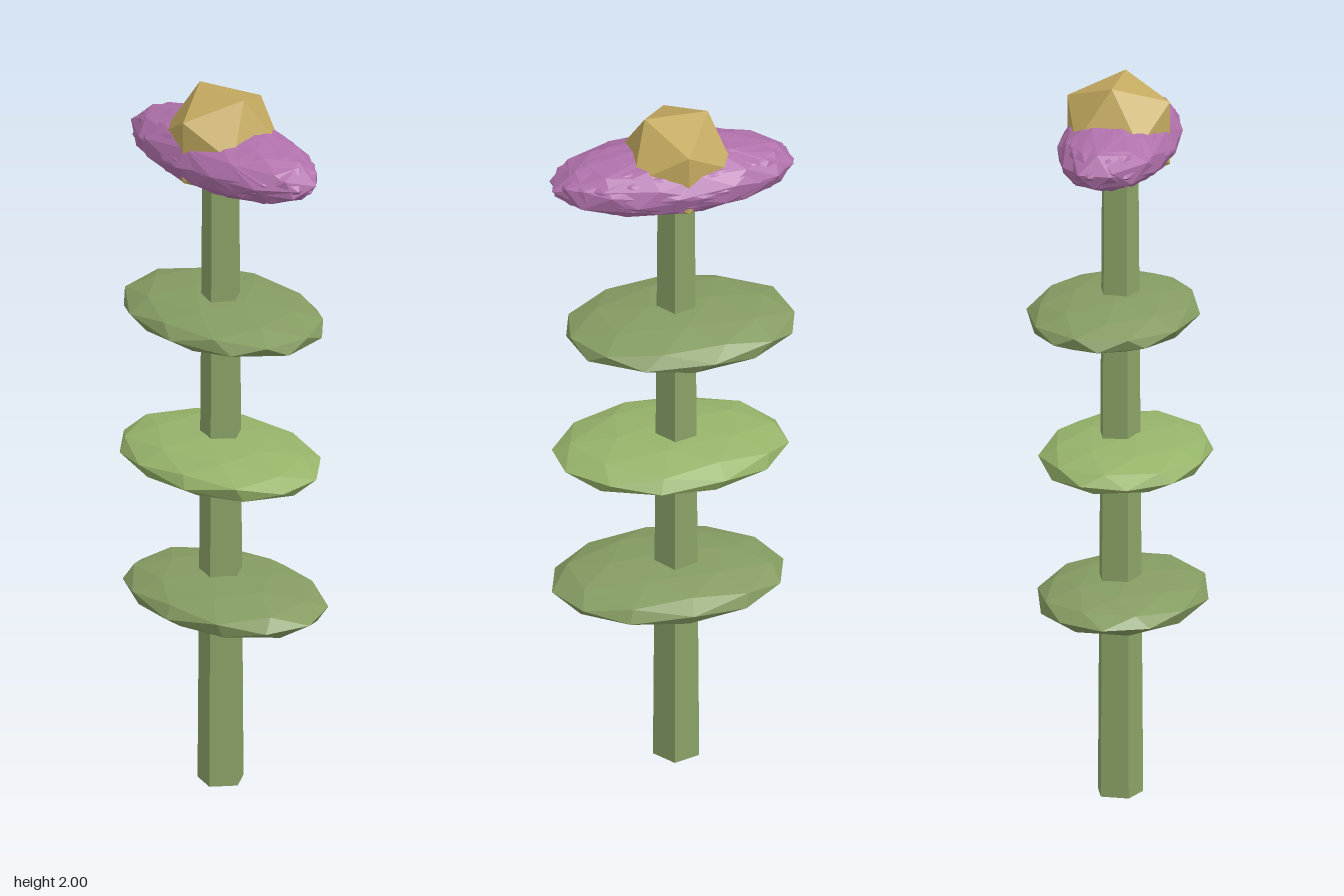
import * as THREE from 'three';

const flat = (color) => new THREE.MeshStandardMaterial({ color, flatShading: true });

// Faceted ellipsoid: the ball is turned first, then squashed, so facets differ but the size stays
function pebble(name, material, center, size, turn) {
  const geo = new THREE.IcosahedronGeometry(1, 1);
  geo.rotateX(turn[0]).rotateY(turn[1]).rotateZ(turn[2]);
  geo.scale(...size).translate(...center);
  geo.computeVertexNormals();
  const mesh = new THREE.Mesh(geo, material);
  mesh.name = name;
  return mesh;
}

// Small seeded generator, 0..1
function seeded(seed) {
  return () => (seed = (seed * 16807) % 2147483647) / 2147483647;
}

export function createModel() {
  const model = new THREE.Group();
  model.name = 'flower';

  // Five-sided tapering stem
  const stem = new THREE.Mesh(
    new THREE.CylinderGeometry(0.052, 0.065, 1.8, 5, 1, false, Math.PI / 2),
    flat(0x8aa267)
  );
  stem.name = 'stem';
  stem.position.set(-0.013, 0.9, 0.004);
  model.add(stem);

  // Three flattened leaf discs, evenly spaced up the stem
  const leaves = new THREE.Group();
  leaves.name = 'leaves';
  const leafData = [
    [0.01, 0.55, 0.01, 0x859c62, [0.1, 0.05, 0.05]],
    [0, 0.95, 0.02, 0x96b36a, [0.15, 0.3, 0.1]],
    [-0.02, 1.35, -0.01, 0x859c62, [0.1, 0.1, 0.28]],
  ];
  for (const [x, y, z, color, turn] of leafData) {
    leaves.add(pebble('leaf', flat(color), [x, y, z], [0.322, 0.061, 0.231], turn));
  }
  model.add(leaves);

  // Spiky blossom: overlapping petals set on a small oval ring
  const petals = new THREE.Group();
  petals.name = 'petals';
  const purple = flat(0xb071ab);
  const random = seeded(4711);
  const count = 10;
  for (let i = 0; i < count; i++) {
    const a = (i / count) * Math.PI * 2;
    const center = [0.035 * Math.cos(a), 1.823, 0.003 + 0.015 * Math.sin(a)];
    const turn = [random() * 6, random() * 6, random() * 6];
    petals.add(pebble('petal', purple, center, [0.305, 0.089, 0.143], turn));
  }
  model.add(petals);

  // Golden heart of the blossom
  const heart = new THREE.Mesh(new THREE.IcosahedronGeometry(0.165, 0), flat(0xc4aa60));
  heart.name = 'flowerCenter';
  heart.position.set(-0.012, 1.86, 0.003);
  model.add(heart);

  return model;
}
